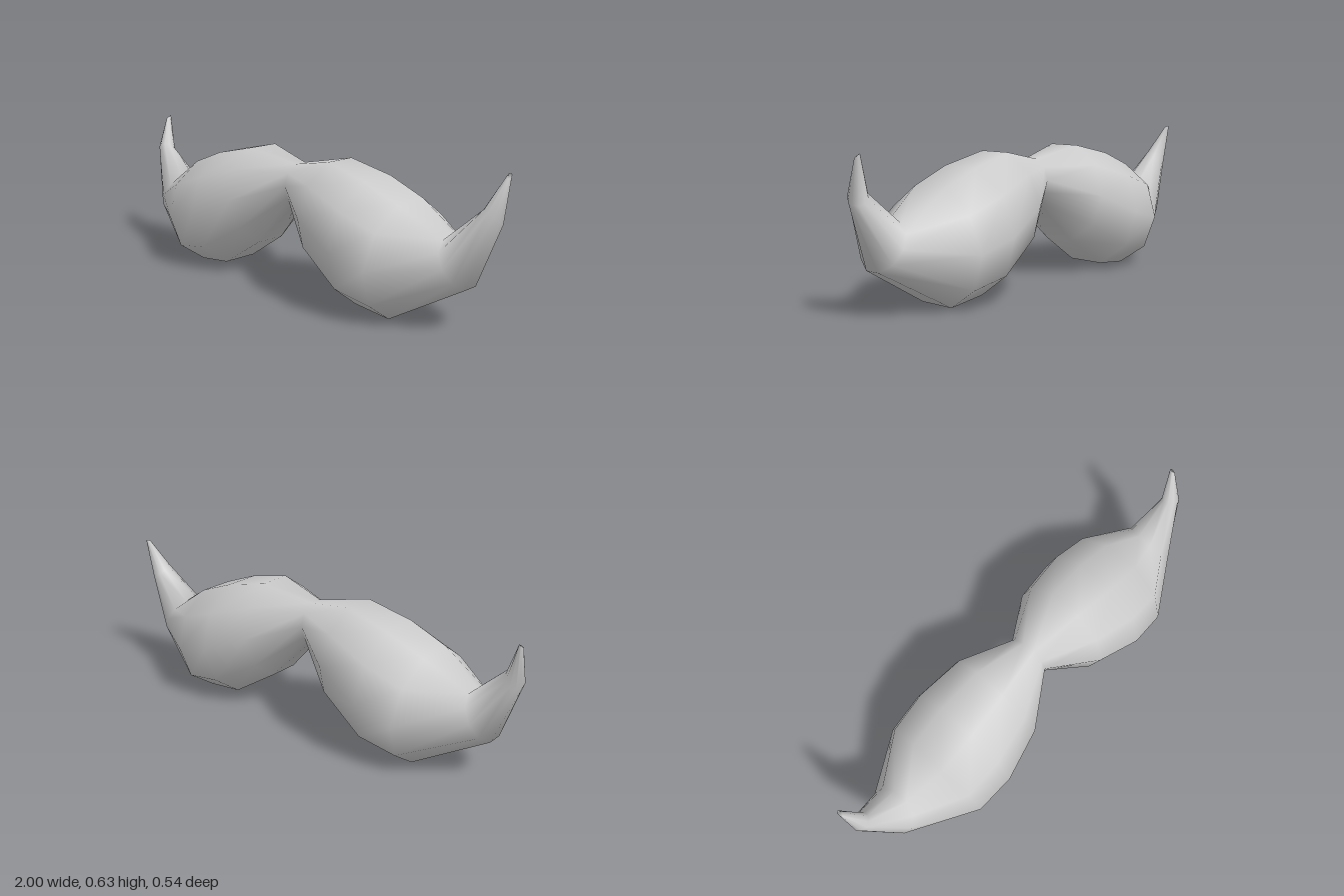
import * as THREE from 'three';

const SIDES = 10;

// Half of the moustache, from the middle to the tip:
// [top x, top y, bottom x, bottom y, half depth, centre z, front-to-back tilt]
const HALF = [
  [0, 0.53, 0, 0.355, 0.092, 0, 0],
  [0.23, 0.576, 0.19, 0.155, 0.225, 0, 0],
  [0.43, 0.53, 0.4, 0.02, 0.268, 0, 0],
  [0.6, 0.465, 0.57, 0, 0.258, 0, 0],
  [0.78, 0.355, 0.89, 0.185, 0.108, 0, 0],
  [0.925, 0.485, 0.996, 0.45, 0.038, -0.018, 0.022],
  [0.985, 0.621, 0.999, 0.613, 0.013, -0.058, -0.007],
];

// Lofts ten-sided rings, flat at top and bottom, and closes both ends
function loft(sections) {
  const pos = [], index = [];
  const flat = Math.cos(Math.PI / SIDES);
  for (const [tx, ty, bx, by, r, cz, tilt] of sections) {
    for (let j = 0; j < SIDES; j++) {
      const a = ((j + 0.5) / SIDES) * Math.PI * 2;
      const k = 0.5 + (0.5 * Math.cos(a)) / flat; // 1 at the top, 0 at the bottom
      const s = Math.sin(a);
      pos.push(bx + (tx - bx) * k, by + (ty - by) * k + tilt * s, cz + r * s);
    }
  }
  const last = sections.length - 1;
  for (let i = 0; i < last; i++) {
    for (let j = 0; j < SIDES; j++) {
      const a = i * SIDES + j, b = i * SIDES + ((j + 1) % SIDES);
      index.push(a, b, a + SIDES, b, b + SIDES, a + SIDES);
    }
  }
  // Tip caps
  for (let j = 1; j < SIDES - 1; j++) {
    const e = last * SIDES;
    index.push(0, j + 1, j, e, e + j, e + j + 1);
  }
  const geo = new THREE.BufferGeometry();
  geo.setAttribute('position', new THREE.Float32BufferAttribute(pos, 3));
  geo.setIndex(index);
  geo.computeVertexNormals();
  return geo;
}

export function createModel() {
  const group = new THREE.Group();
  group.name = 'moustache';
  // Mirror the half to the other side, sharing the middle ring
  const mirrored = HALF.slice(1).reverse()
    .map(([tx, ty, bx, by, ...rest]) => [-tx, ty, -bx, by, ...rest]);
  const whiskers = new THREE.Mesh(
    loft([...mirrored, ...HALF]),
    new THREE.MeshStandardMaterial({ color: 0xcccccc }),
  );
  whiskers.name = 'whiskers';
  group.add(whiskers);
  return group;
}
